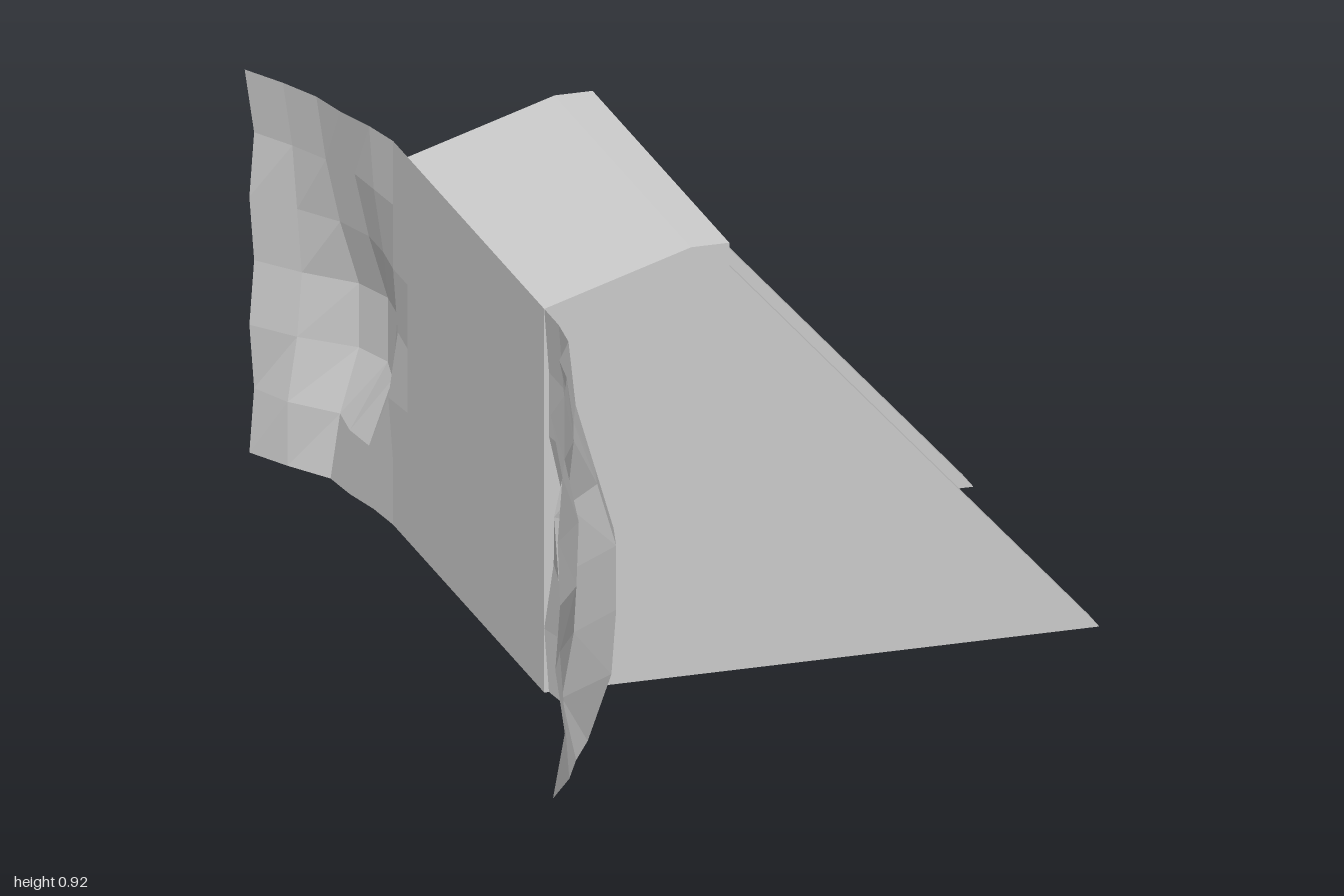
import * as THREE from 'three';

const material = new THREE.MeshStandardMaterial({
  color: 0xcccccc, flatShading: true, side: THREE.DoubleSide,
});

const HALF = 0.44;   // half width of the shelter
const INNER = 0.37;  // inner face of the side walls
const TOP = 0.825;   // height of back wall and soffit

function named(geometry, name) {
  const mesh = new THREE.Mesh(geometry, material);
  mesh.name = name;
  return mesh;
}

// Surface over a grid of points: rows of [x, y, z]
function surface(rows) {
  const cols = rows[0].length;
  const index = [];
  for (let r = 0; r < rows.length - 1; r++) {
    for (let c = 0; c < cols - 1; c++) {
      const a = r * cols + c, b = a + 1, d = a + cols, e = d + 1;
      index.push(a, b, e, a, e, d);
    }
  }
  const geometry = new THREE.BufferGeometry();
  geometry.setAttribute('position', new THREE.Float32BufferAttribute(rows.flat(2), 3));
  geometry.setIndex(index);
  const flat = geometry.toNonIndexed();
  flat.computeVertexNormals();
  return flat;
}

// Sweep an xy line across the width, from z0 to z1
function sweep(line, z0, z1) {
  return surface([z1, z0].map((z) => line.map(([x, y]) => [x, y, z])));
}

// Flat wall face with an xy outline at depth z
function face(outline, z) {
  const shape = new THREE.Shape(outline.map(([x, y]) => new THREE.Vector2(x, y)));
  return new THREE.ShapeGeometry(shape).translate(0, 0, z);
}

// Rough rock panel: x offsets by height (rows) and distance from the wall (columns)
function rockPanel(depths, side) {
  const rows = depths.map((row, r) => row.map((x, c) => [
    x, (TOP * r) / 6, side * (HALF + ((1 - HALF) * c) / 6),
  ]));
  return surface(side > 0 ? rows : rows.reverse());
}

export function createModel() {
  const model = new THREE.Group();

  // Back wall, sloping roof, flat crest and lintel
  model.add(named(sweep([[-0.5, 0], [-0.5, TOP]], -HALF, HALF), 'backWall'));
  model.add(named(sweep([[-0.5, TOP], [-0.19, 0.92], [-0.11, 0.92], [-0.11, 0.87]], -HALF, HALF), 'roof'));
  model.add(named(sweep([[-0.11, 0.87], [-0.11, TOP], [-0.5, TOP]], -INNER, INNER), 'lintel'));

  // Triangular side walls, hollow and open underneath
  const outer = [[-0.5, 0], [0.67, 0], [-0.11, 0.87], [-0.11, 0.92], [-0.19, 0.92], [-0.5, TOP]];
  const inner = [[-0.5, 0], [0.67, 0], [-0.11, 0.87], [-0.11, TOP], [-0.5, TOP]];
  for (const side of [1, -1]) {
    const wall = new THREE.Group();
    wall.name = side > 0 ? 'frontSideWall' : 'backSideWall';
    const outside = side > 0 ? outer : outer.slice();
    wall.add(named(face(outside, side * HALF), 'outerFace'));
    wall.add(named(face(inner, side * INNER), 'innerFace'));
    const z = [side * INNER, side * HALF].sort((a, b) => a - b);
    wall.add(named(sweep([[-0.11, 0.87], [0.67, 0]], z[0], z[1]), 'slopingEdge'));
    model.add(wall);
  }

  // Faceted rock either side of the back wall, rows from the ground up
  const frontRock = [
    [-0.49, -0.48, -0.475, -0.50, -0.555, -0.60, -0.665],
    [-0.50, -0.48, -0.445, -0.45, -0.585, -0.61, -0.64],
    [-0.48, -0.50, -0.415, -0.44, -0.56, -0.62, -0.66],
    [-0.46, -0.51, -0.415, -0.44, -0.56, -0.585, -0.65],
    [-0.49, -0.48, -0.455, -0.48, -0.575, -0.58, -0.655],
    [-0.49, -0.49, -0.495, -0.53, -0.56, -0.61, -0.645],
    [-0.50, -0.50, -0.51, -0.56, -0.575, -0.61, -0.67],
  ];
  const backRock = [
    [-0.50, -0.50, -0.51, -0.53, -0.54, -0.60, -0.65],
    [-0.50, -0.50, -0.52, -0.53, -0.52, -0.60, -0.64],
    [-0.50, -0.51, -0.47, -0.45, -0.48, -0.58, -0.65],
    [-0.50, -0.49, -0.46, -0.45, -0.48, -0.57, -0.64],
    [-0.50, -0.50, -0.49, -0.49, -0.52, -0.58, -0.65],
    [-0.50, -0.50, -0.51, -0.52, -0.55, -0.59, -0.64],
    [-0.50, -0.50, -0.52, -0.55, -0.57, -0.61, -0.66],
  ];
  model.add(named(rockPanel(frontRock, 1), 'frontRock'));
  model.add(named(rockPanel(backRock, -1), 'backRock'));

  return model;
}
